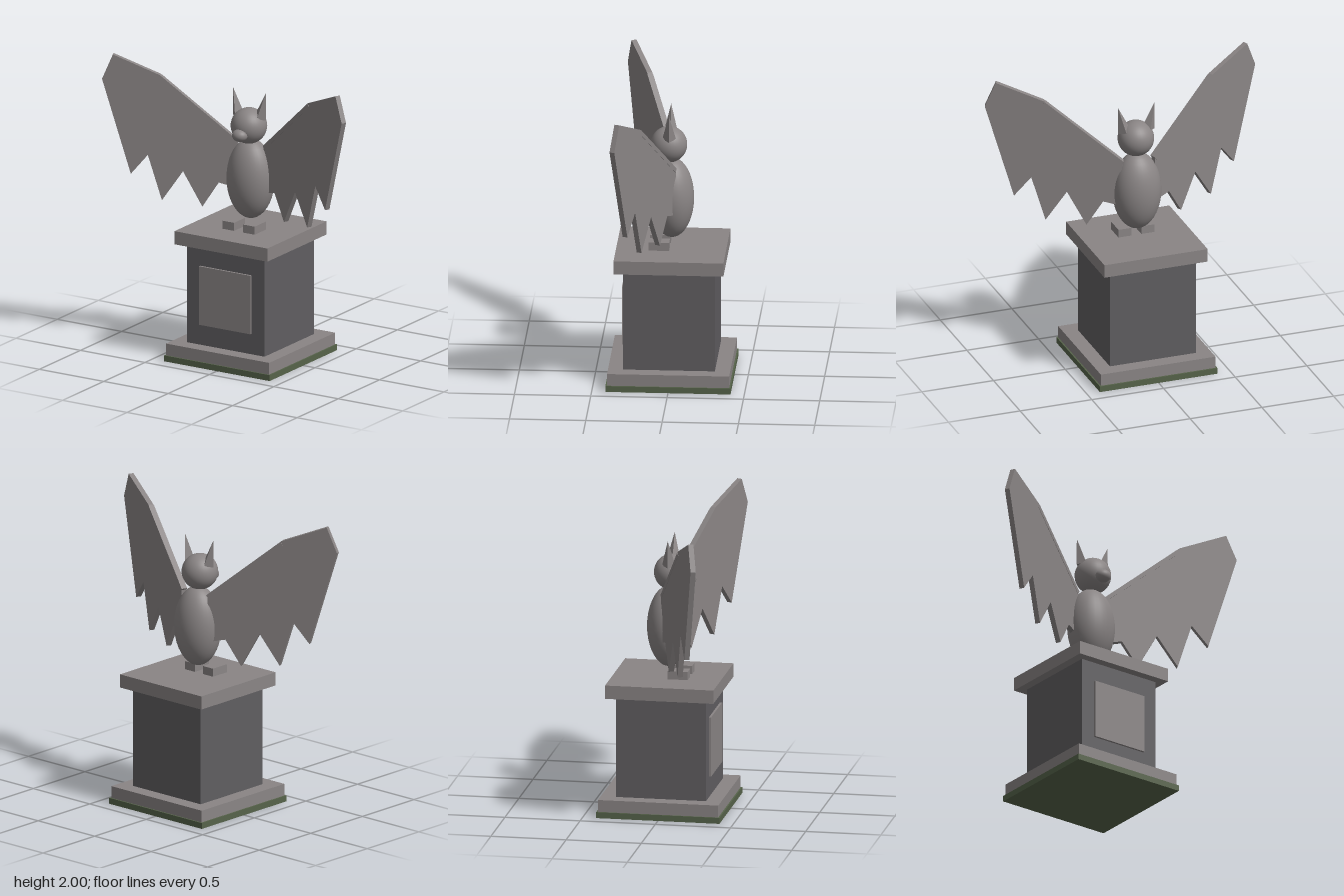
import * as THREE from 'three';

const stone = new THREE.MeshStandardMaterial({ color: 0x8a8585 });
const darkStone = new THREE.MeshStandardMaterial({ color: 0x605e61 });
const moss = new THREE.MeshStandardMaterial({ color: 0x56634a });
const flatStone = new THREE.MeshStandardMaterial({ color: 0x8a8585, flatShading: true });

function add(parent, name, geometry, material, x = 0, y = 0, z = 0) {
  const mesh = new THREE.Mesh(geometry, material);
  mesh.name = name;
  mesh.position.set(x, y, z);
  parent.add(mesh);
  return mesh;
}

// Square slab between two heights
function slab(parent, name, size, y0, y1, material) {
  return add(parent, name, new THREE.BoxGeometry(size, y1 - y0, size), material, 0, (y0 + y1) / 2, 0);
}

function ellipsoid(parent, name, [rx, ry, rz], [x, y, z]) {
  const geometry = new THREE.SphereGeometry(1, 32, 20).scale(rx, ry, rz);
  return add(parent, name, geometry, stone, x, y, z);
}

// Wing outline: distance from the centre line, height
const ROOT_X = 0.115, ROOT_Z = -0.033, SWEEP = 0.4, THICK = 0.035;
const OUTLINE = [
  [0.115, 1.455], [0.59, 1.875], [0.877, 2.0], [0.943, 1.83],
  [0.767, 1.19], [0.663, 1.325], [0.577, 1.02], [0.448, 1.225],
  [0.33, 0.99], [0.23, 1.16], [0.115, 1.13],
];

// Left wing on +x; the right one is built from a mirrored outline
function makeWing(side) {
  const wing = new THREE.Group();
  wing.name = side > 0 ? 'leftWing' : 'rightWing';
  const points = OUTLINE.map(([x, y]) => new THREE.Vector2(side * (x - ROOT_X) / Math.cos(SWEEP), y));
  const membrane = new THREE.ExtrudeGeometry(new THREE.Shape(points), { depth: THICK, bevelEnabled: false });
  add(wing, 'wingMembrane', membrane, flatStone);

  // Arm bone along the inner leading edge
  const [a, b] = points;
  const span = b.clone().sub(a);
  const middle = a.clone().add(b).multiplyScalar(0.5);
  const arm = add(wing, 'wingArm', new THREE.BoxGeometry(span.length(), 0.028, THICK + 0.004),
    flatStone, middle.x, middle.y - 0.017, THICK / 2);
  arm.rotation.z = Math.atan2(span.y, span.x);

  wing.position.set(side * ROOT_X, 0, ROOT_Z);
  wing.rotation.y = -side * SWEEP;
  return wing;
}

export function createModel() {
  const model = new THREE.Group();
  model.name = 'batStatue';

  // Pedestal
  const pedestal = new THREE.Group();
  pedestal.name = 'pedestal';
  slab(pedestal, 'mossyFooting', 0.82, 0, 0.04, moss);
  slab(pedestal, 'plinth', 0.8, 0.04, 0.12, stone);
  slab(pedestal, 'shaft', 0.6, 0.12, 0.795, darkStone);
  slab(pedestal, 'cap', 0.72, 0.795, 0.885, stone);
  add(pedestal, 'frontPanel', new THREE.BoxGeometry(0.4, 0.4, 0.03), stone, 0, 0.46, 0.3);
  model.add(pedestal);

  // Body and head
  const bat = new THREE.Group();
  bat.name = 'bat';
  ellipsoid(bat, 'body', [0.163, 0.27, 0.145], [0, 1.215, 0]);
  ellipsoid(bat, 'head', [0.12, 0.12, 0.12], [0, 1.58, 0.02]);
  ellipsoid(bat, 'snout', [0.053, 0.042, 0.05], [0, 1.54, 0.13]);

  // Paired ears, feet and wings
  for (const side of [1, -1]) {
    const ear = add(bat, 'ear', new THREE.ConeGeometry(0.045, 0.18, 4), flatStone, side * 0.105, 1.73, 0.013);
    ear.rotation.z = -side * 0.24;
    add(bat, 'foot', new THREE.BoxGeometry(0.09, 0.055, 0.135), stone, side * 0.08, 0.9125, 0.078);
    bat.add(makeWing(side));
  }
  model.add(bat);
  return model;
}
